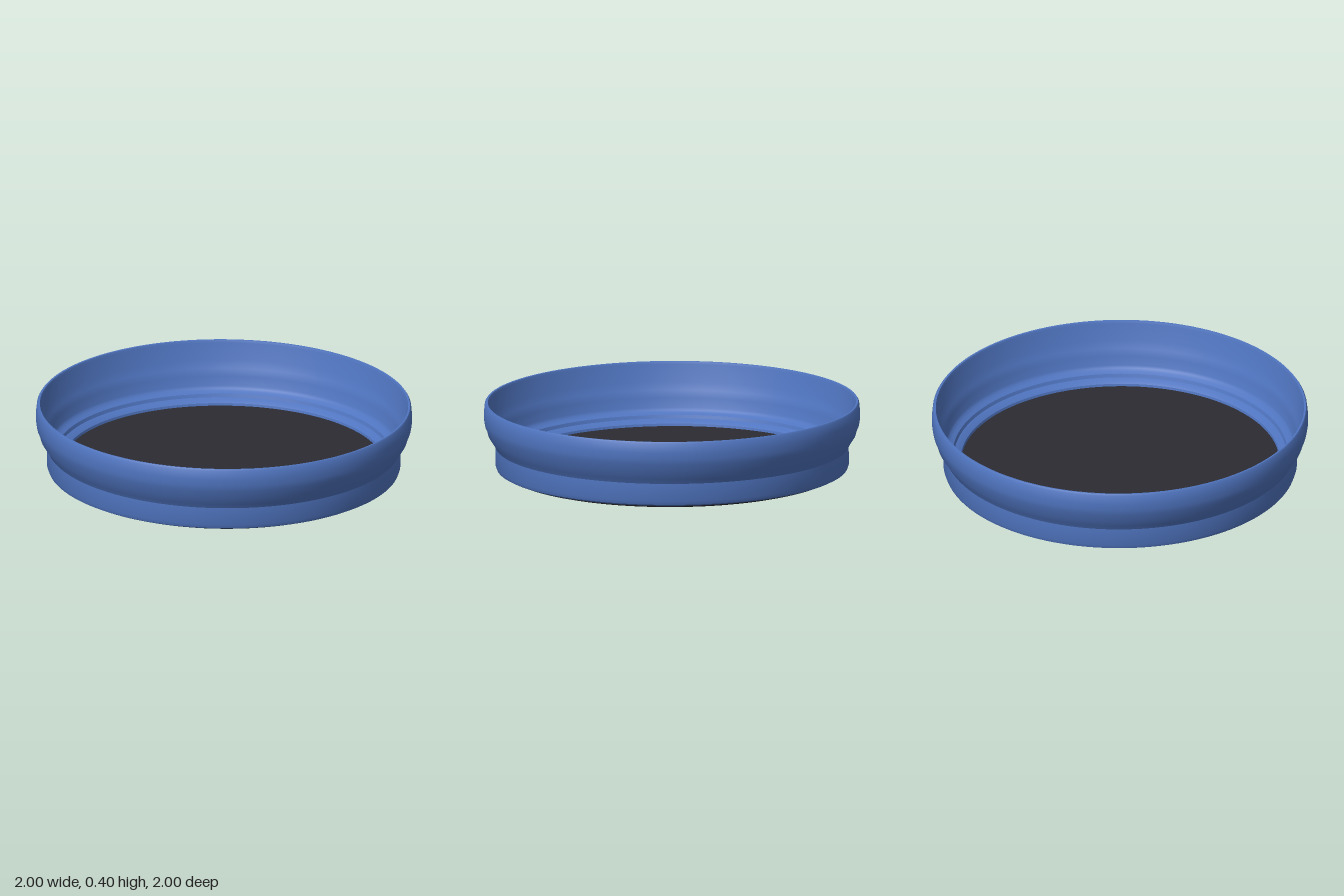
import * as THREE from 'three';
import { toCreasedNormals } from 'three/addons/utils/BufferGeometryUtils.js';

const blue = new THREE.MeshStandardMaterial({ color: 0x4f74bf });
blue.name = 'blue shell';
const dark = new THREE.MeshStandardMaterial({ color: 0x2b2b31 });
dark.name = 'dark base';

// Revolve a [radius, height] profile, listed bottom to top on the outside
function lathe(name, profile, material) {
  const points = profile.map(([r, y]) => new THREE.Vector2(r, y));
  const geometry = toCreasedNormals(new THREE.LatheGeometry(points, 128), 0.5);
  const mesh = new THREE.Mesh(geometry, material);
  mesh.name = name;
  return mesh;
}

export function createModel() {
  const model = new THREE.Group();
  model.name = 'shallowRoundDish';
  const body = new THREE.Group();
  body.name = 'tiltedBody';
  body.rotation.z = -0.0075; // the dish leans very slightly to one side
  model.add(body);

  // Stepped ring: outer wall, rim, inner wall, then the ledge round the floor
  body.add(lathe('rimRing', [
    [0.87, 0.024], [0.915, 0.026], [0.932, 0.035], [0.939, 0.055], [0.937, 0.15],
    [0.95, 0.175], [0.976, 0.215], [0.984, 0.245], [0.993, 0.265], [0.998, 0.295],
    [0.999, 0.33], [0.994, 0.38], [0.988, 0.389], [0.978, 0.388],
    [0.973, 0.375], [0.965, 0.28], [0.945, 0.24], [0.932, 0.2], [0.925, 0.15],
    [0.918, 0.137], [0.905, 0.127], [0.888, 0.118], [0.882, 0.1], [0.86, 0.09],
    [0.846, 0.08], [0.84, 0.05],
  ], blue));

  // Flat base plate closing the ring
  body.add(lathe('basePlate', [
    [0, 0.007], [0.86, 0.007], [0.885, 0.014], [0.893, 0.03],
    [0.87, 0.04], [0.843, 0.067], [0, 0.067],
  ], dark));

  return model;
}
